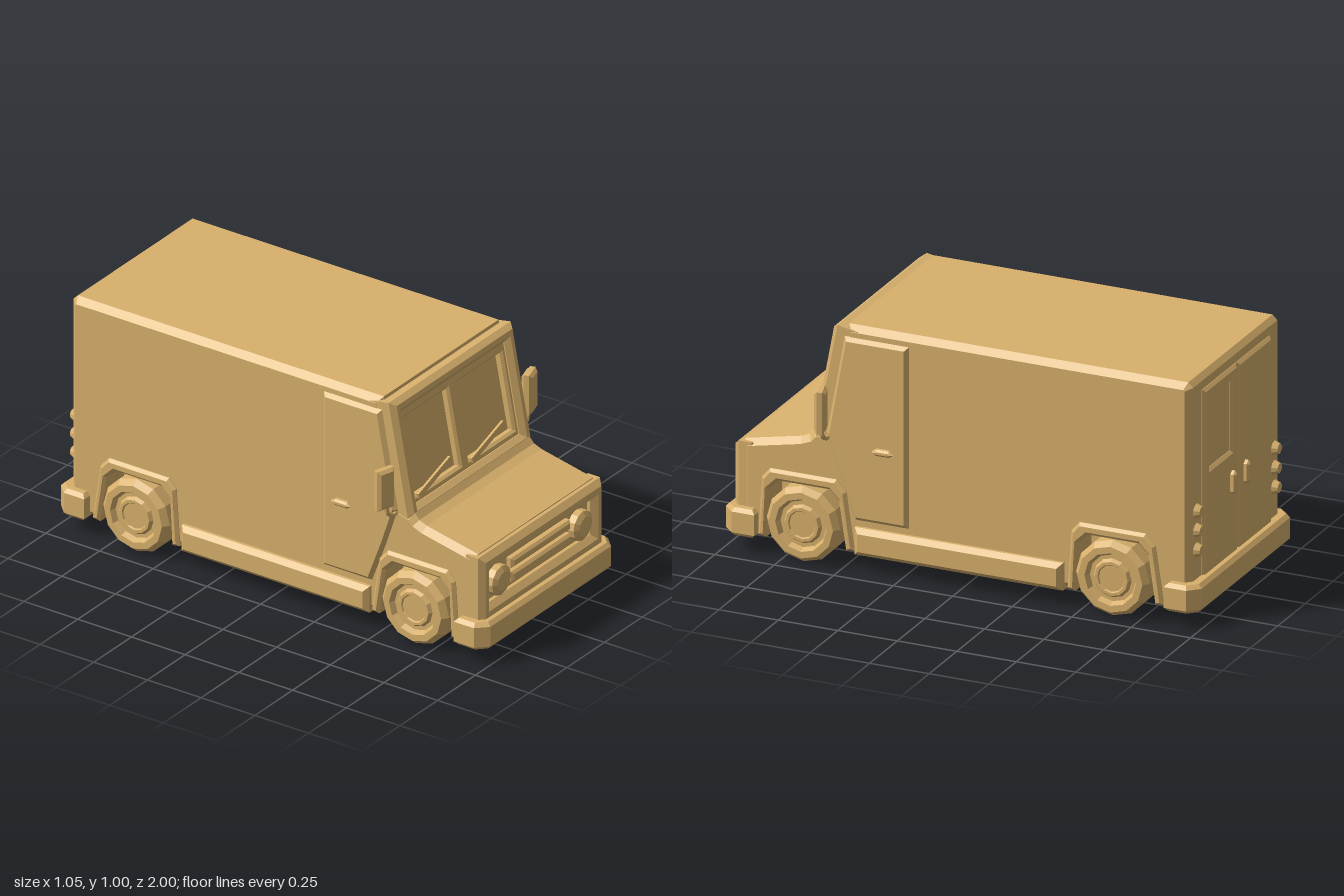
import * as THREE from 'three';

const paint = new THREE.MeshStandardMaterial({ color: 0xd8b06c, flatShading: true });
const vecs = (pts) => pts.map(([x, y]) => new THREE.Vector2(x, y));
const rect = (x0, y0, x1, y1) => [[x0, y0], [x1, y0], [x1, y1], [x0, y1]];

// Chamfered slab, centred on z, that keeps the given outline at its middle
function slab(outline, depth, bevel, holes = []) {
  const shape = new THREE.Shape(vecs(outline));
  shape.holes = holes.map((h) => new THREE.Path(vecs(h)));
  const inner = depth - 2 * bevel;
  return new THREE.ExtrudeGeometry(shape, {
    depth: inner, bevelSize: bevel, bevelThickness: bevel, bevelOffset: -bevel, bevelSegments: 1,
  }).translate(0, 0, -inner / 2);
}

// Slab drawn in side elevation (z, y), with its thickness along x
const sideSlab = (...args) => slab(...args).rotateY(-Math.PI / 2);
const block = (w, h, d, bevel) => slab(rect(-w / 2, -h / 2, w / 2, h / 2), d, bevel);

function add(parent, name, geometry, x = 0, y = 0, z = 0) {
  const mesh = new THREE.Mesh(geometry, paint);
  mesh.name = name;
  mesh.position.set(x, y, z);
  parent.add(mesh);
  return mesh;
}

const AXLES = [0.665, -0.635];
const SIDES = [1, -1];

// Wheel arch outlines relative to the axle, front to back
const archInner = [[0.16, 0.07], [0.15, 0.27], [0.11, 0.31], [-0.105, 0.31], [-0.145, 0.27], [-0.175, 0.07]];
const archOuter = [[0.195, 0.075], [0.178, 0.315], [0.145, 0.355], [-0.135, 0.355], [-0.175, 0.31], [-0.21, 0.075]];

function addBody(van) {
  const arch = (z) => archInner.map(([dz, y]) => [z + dz, y]);
  const profile = [
    [-0.955, 0.07], [-0.955, 0.975], [-0.935, 0.995], [0.49, 0.995],
    [0.575, 0.55], [0.635, 0.535], [0.655, 0.512], [0.69, 0.498], [0.93, 0.448], [0.93, 0.07],
    ...arch(AXLES[0]), ...arch(AXLES[1]),
  ];
  add(van, 'body', sideSlab(profile, 0.81, 0.025));
  add(van, 'chassis', new THREE.BoxGeometry(0.57, 0.33, 1.86), 0, 0.235, 0);
  add(van, 'sideSkirts', sideSlab(rect(-0.425, 0.065, 0.45, 0.178), 0.875, 0.02));

  // Bumpers with cut corners
  for (const s of SIDES) {
    const plan = [[-0.445, 0.86], [0.445, 0.86], [0.445, 0.955], [0.4, 1], [-0.4, 1], [-0.445, 0.955]];
    const geo = slab(plan.map(([x, z]) => [x, s * z]), 0.115, 0.015).rotateX(Math.PI / 2);
    add(van, s > 0 ? 'frontBumper' : 'rearBumper', geo, 0, 0.122, 0);
  }
}

function addNose(van) {
  const nose = new THREE.Group();
  nose.name = 'nose';
  van.add(nose);
  add(nose, 'grilleSurround',
    slab(rect(-0.404, 0.15, 0.404, 0.444), 0.1, 0.022, [rect(-0.34, 0.225, 0.34, 0.372)]), 0, 0, 0.917);
  for (const y of [0.275, 0.333]) add(nose, 'grilleBar', block(0.39, 0.043, 0.05, 0.01), 0, y, 0.935);

  const lamp = [[0.062, 0], [0.062, 0.035], [0.041, 0.048], [0, 0.048]];
  for (const s of SIDES) {
    add(nose, 'headlight', new THREE.LatheGeometry(vecs(lamp), 12).rotateX(Math.PI / 2), s * 0.27, 0.297, 0.925);
  }
}

function addWindscreen(van) {
  const screen = new THREE.Group();
  screen.name = 'windscreen';
  screen.position.set(0, 0.535, 0.635);
  screen.rotation.x = -0.187;
  van.add(screen);
  add(screen, 'windscreenSurround',
    slab(rect(-0.404, -0.02, 0.404, 0.466), 0.13, 0.02, [rect(-0.345, 0.022, 0.345, 0.405)]), 0, 0, -0.065);
  const panes = SIDES.map((s) => rect(s * 0.03, 0.048, s * 0.325, 0.367));
  add(screen, 'windscreenFrame',
    slab(rect(-0.36, 0, 0.36, 0.43), 0.06, 0.01, panes), 0, 0, -0.055);
  for (const x of [-0.208, 0.145]) {
    const wiper = add(screen, 'wiper', new THREE.BoxGeometry(0.235, 0.021, 0.012), x, 0.075, -0.019);
    wiper.rotation.z = 0.27;
  }
}

function addSide(van, s) {
  const side = new THREE.Group();
  side.name = s > 0 ? 'leftSide' : 'rightSide';
  van.add(side);

  // Cab door with a sunken window
  const door = [[0.225, 0.2], [0.225, 0.952], [0.5, 0.952], [0.575, 0.54], [0.52, 0.375], [0.455, 0.2]];
  const glass = [[0.275, 0.555], [0.275, 0.9], [0.475, 0.9], [0.535, 0.555]];
  add(side, 'door', sideSlab(door, 0.04, 0.018, [glass]), s * 0.4, 0, 0);
  const grip = [[0.28, 0.505], [0.3, 0.518], [0.355, 0.518], [0.373, 0.505], [0.355, 0.492], [0.3, 0.492]];
  add(side, 'doorHandle', sideSlab(grip, 0.04, 0.008), s * 0.421, 0, 0);

  // Mirror on a bent arm
  const arm = new THREE.CatmullRomCurve3([[0.395, 0.527], [0.43, 0.527], [0.462, 0.55], [0.472, 0.6]]
    .map(([x, y]) => new THREE.Vector3(s * x, y, 0.565)));
  add(side, 'mirrorArm', new THREE.TubeGeometry(arm, 8, 0.009, 6));
  const mirror = add(side, 'mirror', block(0.08, 0.17, 0.045, 0.012), s * 0.483, 0.665, 0.562);
  mirror.rotation.y = s * 0.3;

  // Wheels and arches
  const tyre = [[0, 0], [0.14, 0], [0.155, 0.015], [0.155, 0.125], [0.135, 0.15], [0.108, 0.15],
    [0.096, 0.128], [0.08, 0.128], [0.07, 0.142], [0.058, 0.142], [0.054, 0.136], [0, 0.136]];
  for (const z of AXLES) {
    const flare = [...archOuter, ...archInner.slice().reverse()].map(([dz, y]) => [z + dz, y]);
    add(side, 'wheelArch', sideSlab(flare, 0.05, 0.012), s * 0.395, 0, 0);
    const wheel = add(side, 'wheel', new THREE.LatheGeometry(vecs(tyre), 12).rotateZ(-Math.PI / 2), s * 0.292, 0.155, z);
    if (s < 0) wheel.rotation.y = Math.PI;
  }
}

function addRear(van) {
  const rear = new THREE.Group();
  rear.name = 'rear';
  van.add(rear);
  for (const s of SIDES) {
    // Rear door with a sunken window
    add(rear, 'rearDoor', slab(rect(s * 0.004, 0.17, s * 0.305, 0.94), 0.04, 0.012,
      [rect(s * 0.055, 0.6, s * 0.255, 0.885)]), 0, 0, -0.949);
    const grip = [[-0.016, -0.035], [0, -0.048], [0.016, -0.035], [0.016, 0.035], [0, 0.048], [-0.016, 0.035]];
    add(rear, 'rearDoorHandle', slab(grip, 0.035, 0.008), s * 0.06, 0.475, -0.973);

    // Stacked tail lights
    for (const y of [0.3, 0.38, 0.46]) {
      const light = new THREE.CylinderGeometry(0.02, 0.033, 0.03, 10).rotateX(-Math.PI / 2);
      add(rear, 'tailLight', light, s * 0.352, y, -0.963);
    }
  }
}

export function createModel() {
  const van = new THREE.Group();
  van.name = 'van';
  addBody(van);
  addNose(van);
  addWindscreen(van);
  for (const s of SIDES) addSide(van, s);
  addRear(van);
  return van;
}
